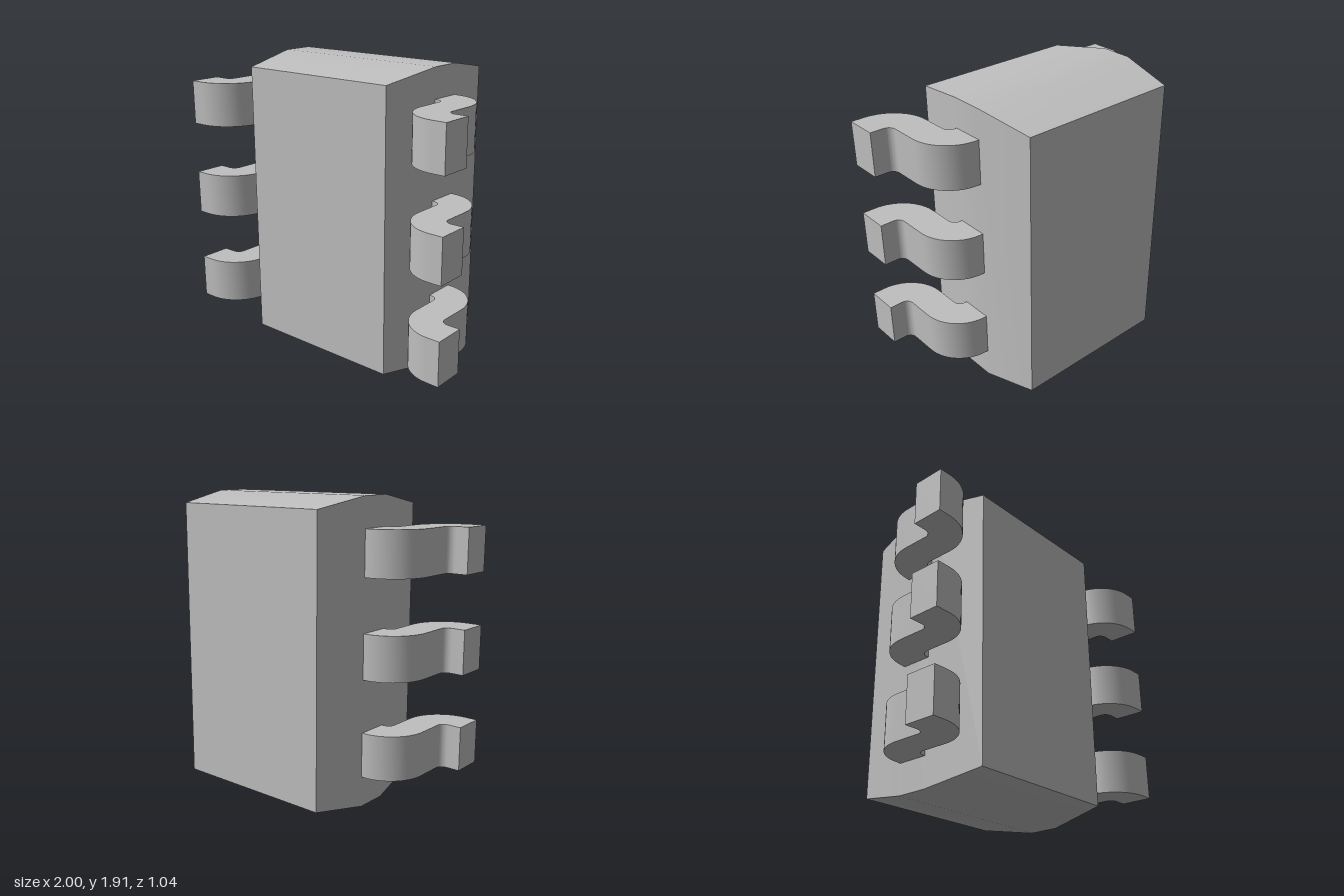
import * as THREE from 'three';
import { toCreasedNormals } from 'three/addons/utils/BufferGeometryUtils.js';

const CREASE = 0.6;

// Moulded block: rectangular sections lofted from back to front
function bodyGeometry() {
  const sections = [ // z, half width, half height
    [-0.525, 0.535, 0.888],
    [-0.16, 0.597, 0.953],
    [0.04, 0.597, 0.953],
    [0.425, 0.535, 0.888],
  ];
  const pos = [], index = [];
  for (const [z, w, h] of sections) {
    for (const [sx, sy] of [[-1, -1], [1, -1], [1, 1], [-1, 1]]) pos.push(sx * w, 0.953 + sy * h, z);
  }
  for (let s = 0; s < sections.length - 1; s++) {
    for (let i = 0; i < 4; i++) {
      const a = s * 4 + i, b = s * 4 + (i + 1) % 4;
      index.push(a, b, b + 4, a, b + 4, a + 4);
    }
  }
  const f = (sections.length - 1) * 4;
  index.push(0, 2, 1, 0, 3, 2, f, f + 1, f + 2, f, f + 2, f + 3);
  const geo = new THREE.BufferGeometry();
  geo.setAttribute('position', new THREE.Float32BufferAttribute(pos, 3));
  geo.setIndex(index);
  return toCreasedNormals(geo, CREASE);
}

// S-bent lead: outline in plan (shape y is -z), extruded upwards
function leadGeometry(side, height) {
  const inner = 0.05, outer = 0.255;
  const points = [];
  const add = (x, z) => points.push(new THREE.Vector2(side * x, -z));
  const arc = (cx, cz, r, from, to) => {
    const n = 14;
    for (let i = 0; i <= n; i++) {
      const a = THREE.MathUtils.degToRad(from + (to - from) * i / n);
      add(cx + r * Math.cos(a), cz + r * Math.sin(a));
    }
  };
  add(0.57, -0.163);
  arc(0.61, 0.092, outer, -90, 0);
  arc(0.915, 0.265, inner, 180, 90);
  add(1, 0.315);
  add(1, 0.52);
  arc(0.915, 0.265, outer, 90, 180);
  arc(0.61, 0.092, inner, 0, -90);
  add(0.57, 0.042);
  const geo = new THREE.ExtrudeGeometry(new THREE.Shape(points), { depth: height, bevelEnabled: false });
  geo.rotateX(-Math.PI / 2);
  return toCreasedNormals(geo, CREASE);
}

export function createModel() {
  const model = new THREE.Group();
  model.name = 'chipPackage';
  const grey = new THREE.MeshStandardMaterial({ color: 0xbfbfbf });
  grey.name = 'light grey';

  const body = new THREE.Mesh(bodyGeometry(), grey);
  body.name = 'body';
  model.add(body);

  // Three leads on each side
  for (const side of [1, -1]) {
    const geo = leadGeometry(side, 0.284);
    for (let i = 0; i < 3; i++) {
      const lead = new THREE.Mesh(geo, grey);
      lead.name = (side > 0 ? 'leftLead' : 'rightLead') + (i + 1);
      lead.position.y = 0.195 + i * 0.619;
      model.add(lead);
    }
  }
  return model;
}
